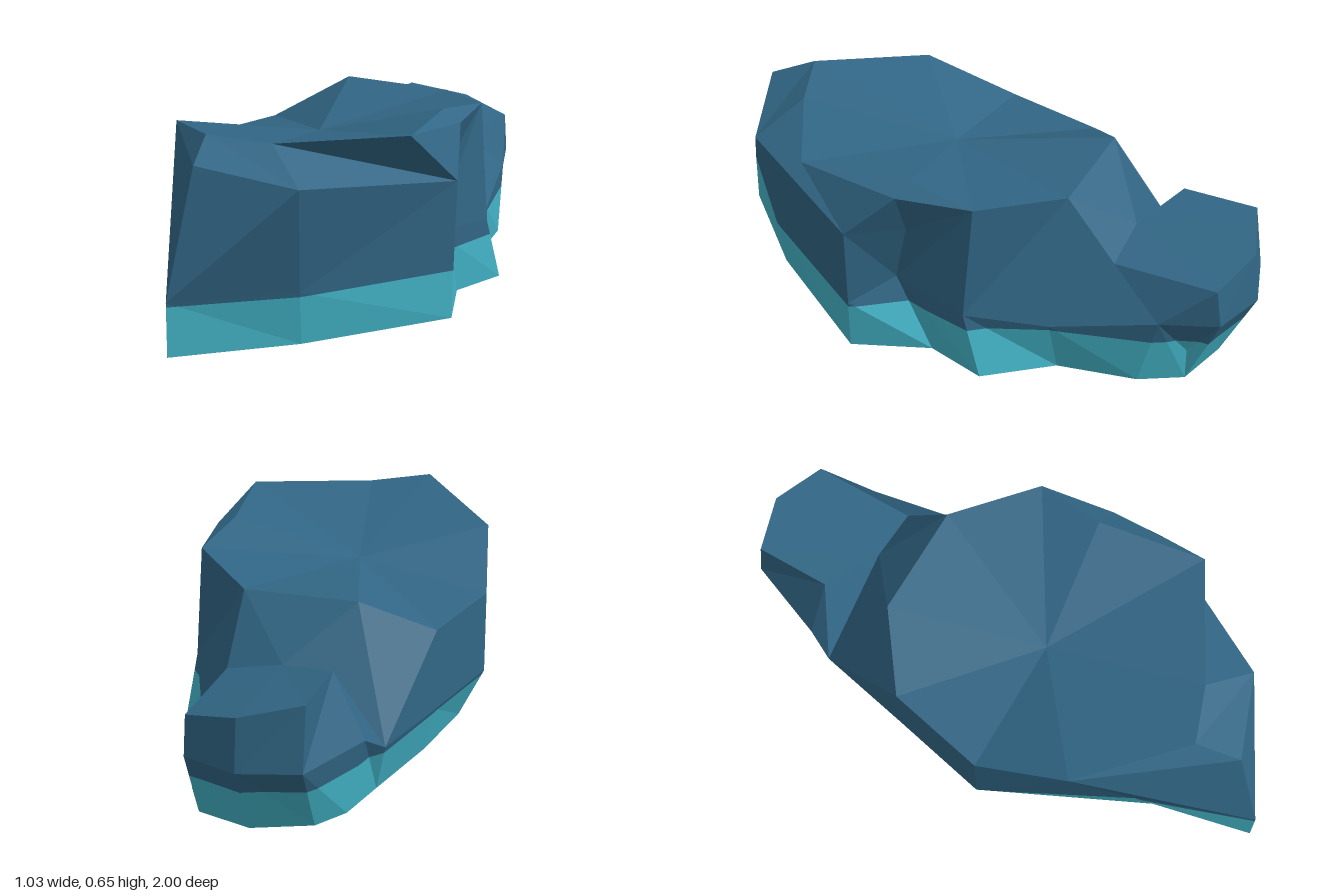
import * as THREE from 'three';

const WATERLINE = 0.165;

// Rings run from the front tip around by +x, the back and -x: [x, y, z]
const bottom = [[-0.13, 1], [0.18, 0.7], [0.5, 0.26], [0.4, 0], [0.465, -0.21], [0.3, -0.42], [0.25, -0.69],
  [0.17, -0.83], [-0.02, -0.88], [-0.21, -0.8], [-0.28, -0.69], [-0.32, -0.5], [-0.39, -0.18], [-0.43, 0.12],
  [-0.2, 0.67]].map(([x, z]) => [x, 0, z]);
const middle = [[-0.13, 0.18, 1], [0.19, 0.18, 0.724], [0.505, 0.18, 0.26], [0.38, 0.25, 0.14], [0.445, 0.22, -0.14],
  [0.33, 0.18, -0.4], [0.24, 0.245, -0.75], [0.17, 0.25, -0.94], [-0.02, 0.25, -1], [-0.22, 0.25, -0.94],
  [-0.33, 0.25, -0.66], [-0.37, 0.19, -0.57], [-0.44, 0.18, -0.23], [-0.517, 0.18, 0.12], [-0.272, 0.18, 0.598]];
const upper = [[-0.095, 0.595, 0.88], [0.215, 0.53, 0.77], [0.515, 0.47, 0.26], [0.45, 0.62, 0.1], [0.41, 0.625, -0.16],
  [0.17, 0.595, -0.39], [0.17, 0.385, -0.56], [0.17, 0.385, -0.92], [-0.02, 0.43, -0.98], [-0.22, 0.47, -0.91],
  [-0.22, 0.47, -0.65], [-0.37, 0.19, -0.57], [-0.44, 0.466, -0.23], [-0.517, 0.47, 0.12], [-0.44, 0.597, 0.43]];

// Extra points by column: upright foot under the rear lobe, and the side notch
const foot = { 6: [0.25, 0.115, -0.7], 7: [0.17, 0.115, -0.83] };
const notch = { 3: [0.4, 0.47, 0.09] };

// Crown of the main rock, its sunken centre, and the saddle before the low rear lobe
const crown = [[-0.14, 0.655, 0.73], [0.06, 0.632, 0.66], [0.44, 0.655, 0.45], [0.38, 0.655, 0.08], upper[4], upper[5]];
const hollow = [-0.06, 0.54, 0.13];
const ridge = [-0.22, 0.602, -0.39];
const saddle = [-0.02, 0.425, -0.56];

// Keeps the part of a polygon above (sign 1) or below (sign -1) the waterline
function clip(poly, sign) {
  const out = [];
  poly.forEach((a, i) => {
    const b = poly[(i + 1) % poly.length];
    const da = sign * (a[1] - WATERLINE), db = sign * (b[1] - WATERLINE);
    if (da >= 0) out.push(a);
    if (da * db < 0) {
      const t = da / (da - db);
      out.push(a.map((v, k) => v + (b[k] - v) * t));
    }
  });
  return out;
}

// Fan-triangulates the clipped faces into flat-shaded geometry
function facesToGeometry(triangles, sign) {
  const points = [];
  for (const tri of triangles) {
    const poly = clip(tri, sign);
    for (let i = 1; i + 1 < poly.length; i++) points.push(...poly[0], ...poly[i], ...poly[i + 1]);
  }
  const geometry = new THREE.BufferGeometry();
  geometry.setAttribute('position', new THREE.Float32BufferAttribute(points, 3));
  geometry.computeVertexNormals();
  return geometry;
}

export function createModel() {
  const triangles = [];

  // Adds a polygon as a fan from its first corner, skipping missing corners
  const face = (...corners) => {
    const p = corners.filter(Boolean);
    for (let i = 1; i + 1 < p.length; i++) {
      const tri = [p[0], p[i], p[i + 1]];
      const [a, b, c] = tri.map((v) => new THREE.Vector3(...v));
      if (new THREE.Triangle(a, b, c).getArea() > 1e-6) triangles.push(tri);
    }
  };

  // Side walls; two of the upper faces fold along the other diagonal
  const n = bottom.length;
  for (let i = 0; i < n; i++) {
    const j = (i + 1) % n;
    face(middle[i], foot[i], bottom[i], bottom[j], foot[j], middle[j]);
    if (i === 2 || i === 14) face(upper[i], notch[i], middle[i], middle[j], notch[j], upper[j]);
    else face(upper[j], upper[i], notch[i], middle[i], middle[j], notch[j]);
  }

  // Bevel between the front walls and the crown
  for (let i = 0; i < 4; i++) face(upper[i + 1], crown[i + 1], crown[i], upper[i]);
  face(upper[14], upper[0], crown[0]);

  // Dished top
  const rim = [...crown, ridge, upper[12], upper[13], upper[14]];
  rim.forEach((p, i) => face(hollow, p, rim[(i + 1) % rim.length]));

  // Slope down to the saddle
  face(upper[5], upper[6], saddle, ridge);
  face(ridge, saddle, upper[11]);
  face(ridge, upper[11], upper[12]);

  // Rear lobe top and its step
  face(saddle, upper[6], upper[7], upper[8]);
  face(saddle, upper[8], upper[9], upper[10]);
  face(saddle, upper[10], upper[11]);

  const stone = new THREE.MeshStandardMaterial({ color: 0x316685, flatShading: true, side: THREE.DoubleSide });
  stone.name = 'slate blue';
  const wet = new THREE.MeshStandardMaterial({ color: 0x44b6ca, flatShading: true, side: THREE.DoubleSide });
  wet.name = 'teal';

  const group = new THREE.Group();
  group.name = 'rock';
  const body = new THREE.Mesh(facesToGeometry(triangles, 1), stone);
  body.name = 'rockBody';
  const band = new THREE.Mesh(facesToGeometry(triangles, -1), wet);
  band.name = 'baseBand';
  group.add(body, band);
  return group;
}
